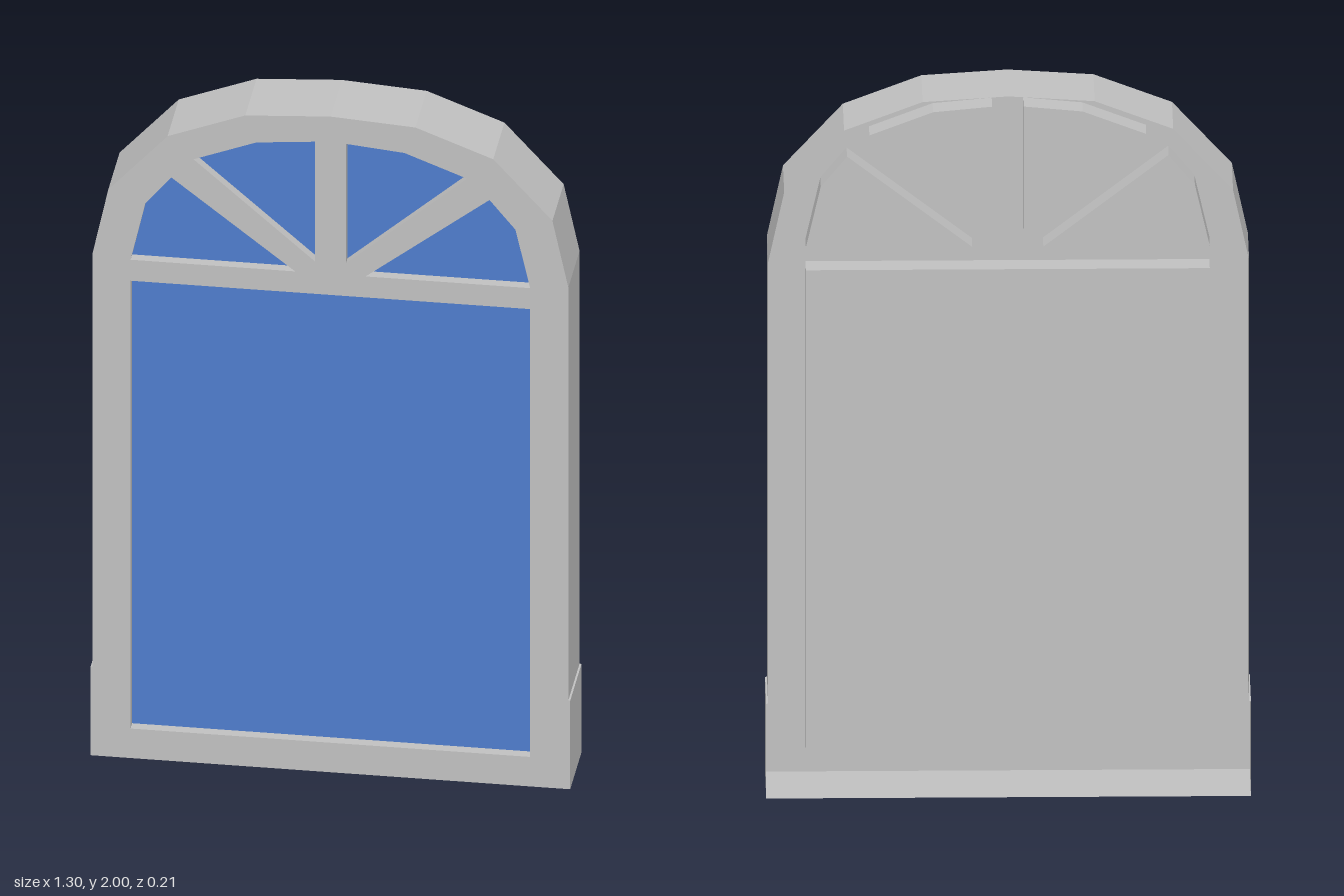
import * as THREE from 'three';

const FRONT = 0.103, BACK = -0.103, GLASS = 0.073, PANEL = 0.033;

const mirror = (pts) => pts.map(([x, y]) => [-x, y]).reverse();
const toShape = (pts) => new THREE.Shape(pts.map(([x, y]) => new THREE.Vector2(x, y)));

// Closed band of flat quads following an outline between two depths
function band(pts, zFront, zBack) {
  const pos = [];
  pts.forEach(([x0, y0], i) => {
    const [x1, y1] = pts[(i + 1) % pts.length];
    pos.push(x0, y0, zFront, x0, y0, zBack, x1, y1, zBack);
    pos.push(x0, y0, zFront, x1, y1, zBack, x1, y1, zFront);
  });
  const g = new THREE.BufferGeometry();
  g.setAttribute('position', new THREE.Float32BufferAttribute(pos, 3));
  g.computeVertexNormals();
  return g;
}

export function createModel() {
  const stone = new THREE.MeshStandardMaterial({ color: 0xc0c0c0, side: THREE.DoubleSide });
  stone.name = 'frame grey';
  const blue = new THREE.MeshStandardMaterial({ color: 0x4e7ccc, side: THREE.DoubleSide });
  blue.name = 'glass blue';

  const model = new THREE.Group();
  model.name = 'archedWindow';
  const add = (parent, name, geometry, material, z = 0) => {
    const mesh = new THREE.Mesh(geometry, material);
    mesh.name = name;
    mesh.position.z = z;
    parent.add(mesh);
  };

  // Arched outline, counter-clockwise from the bottom
  const half = [[0.648, 0], [0.648, 0.27], [0.643, 0.271], [0.643, 1.53], [0.6, 1.73],
    [0.44, 1.905], [0.23, 1.985]];
  const outline = [...half, [0, 2], ...mirror(half)];

  // Main pane and the four fan panes
  const lowerFan = [[0.095, 1.52], [0.54, 1.52], [0.5, 1.695], [0.43, 1.78]];
  const upperFan = [[0.042, 1.555], [0.37, 1.84], [0.2, 1.905], [0.042, 1.92]];
  const panes = {
    mainPane: [[-0.54, 0.09], [0.54, 0.09], [0.54, 1.456], [-0.54, 1.456]],
    lowerFanLeft: lowerFan,
    lowerFanRight: mirror(lowerFan),
    upperFanLeft: upperFan,
    upperFanRight: mirror(upperFan),
  };

  // Front face with openings, and the thin outer casing left open behind
  const face = toShape(outline);
  face.holes = Object.values(panes).map((p) => new THREE.Path(toShape(p).getPoints()));
  add(model, 'frontFace', new THREE.ShapeGeometry(face), stone, FRONT);
  add(model, 'outerCasing', band(outline, FRONT, BACK), stone);

  // Each pane: shallow box with coloured glass in front and a grey panel behind
  for (const [name, pts] of Object.entries(panes)) {
    const pane = new THREE.Group();
    pane.name = name;
    add(pane, 'reveal', band(pts, FRONT, PANEL), stone);
    add(pane, 'glass', new THREE.ShapeGeometry(toShape(pts)), blue, GLASS);
    add(pane, 'backPanel', new THREE.ShapeGeometry(toShape(pts)), stone, PANEL);
    model.add(pane);
  }
  return model;
}
